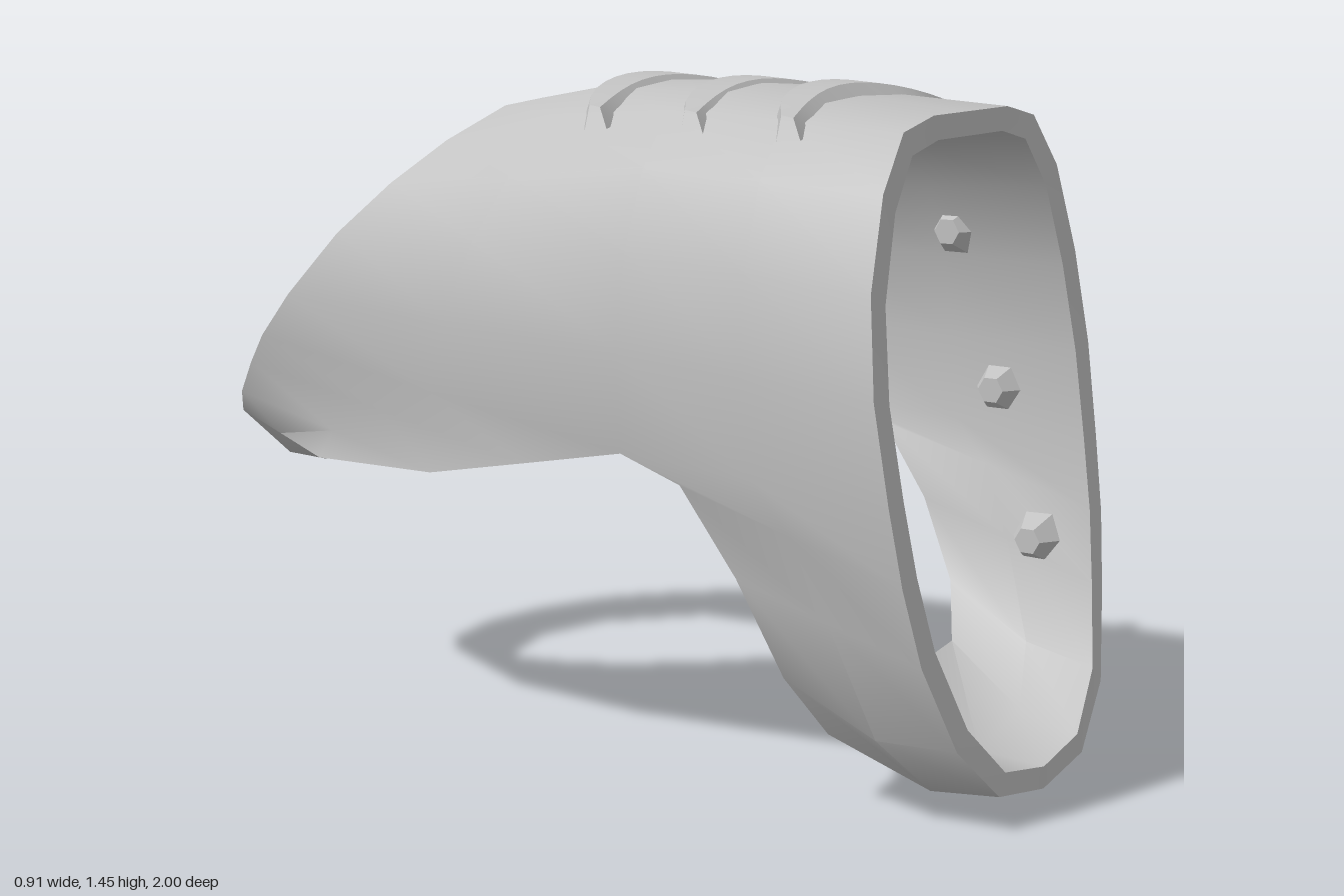
import * as THREE from 'three';
import { toCreasedNormals } from 'three/addons/utils/BufferGeometryUtils.js';

// Adds quads between two rows of points; skip(k) leaves gaps.
function strip(out, a, b, closed, skip = () => false) {
  const n = a.length;
  for (let k = 0; k < (closed ? n : n - 1); k++) {
    if (skip(k)) continue;
    const m = (k + 1) % n;
    out.push(...a[k], ...a[m], ...b[m], ...a[k], ...b[m], ...b[k]);
  }
}

function geometryFrom(positions, crease) {
  const g = new THREE.BufferGeometry();
  g.setAttribute('position', new THREE.Float32BufferAttribute(positions, 3));
  return toCreasedNormals(g, crease);
}

// Half ring (top centre to bottom centre on +x) mirrored into a closed loop.
const mirrorRing = (half) => [...half, ...half.slice(1, -1).reverse().map(([x, y, z]) => [-x, y, z])];
const average = (a, b) => a.map((p, i) => p.map((v, j) => (v + b[i][j]) / 2));
const inset = (half, sx, sy, sz = 1) => half.map(([x, y, z]) => [x * sx, 0.7 + (y - 0.7) * sy, z * sz]);

function shellGeometry() {
  // Front opening
  const front = [[0, 1.4, 0.8], [0.15, 1.4, 0.8], [0.265, 1.375, 0.8], [0.355, 1.265, 0.81],
    [0.42, 1.08, 0.825], [0.445, 0.88, 0.85], [0.435, 0.68, 0.88], [0.42, 0.52, 0.905],
    [0.385, 0.36, 0.93], [0.31, 0.18, 0.97], [0.18, 0.06, 0.995], [0, 0.03, 1]];
  // Seam over the top, shared by the front and rear lofts
  const seam = [[0, 1.44, 0.25], [0.15, 1.43, 0.25], [0.27, 1.395, 0.25], [0.355, 1.285, 0.25],
    [0.42, 1.12, 0.25], [0.45, 0.92, 0.25], [0.435, 0.71, 0.25]];
  // Front and rear edges of the hole in the underside
  const archFront = [...seam, [0.425, 0.66, 0.39], [0.4, 0.48, 0.51], [0.36, 0.28, 0.6],
    [0.27, 0.15, 0.65], [0, 0.12, 0.66]];
  const archRear = [...seam, [0.44, 0.66, 0], [0.44, 0.61, -0.25], [0.405, 0.595, -0.6],
    [0.21, 0.54, -0.76], [0, 0.52, -0.8]];
  // Slanted rear opening
  const rear = [[0, 1.38, -0.28], [0.12, 1.37, -0.29], [0.25, 1.3, -0.35], [0.345, 1.21, -0.43],
    [0.41, 1.1, -0.53], [0.44, 0.96, -0.65], [0.43, 0.86, -0.74], [0.405, 0.79, -0.8],
    [0.365, 0.71, -0.87], [0.3, 0.65, -0.93], [0.17, 0.59, -0.98], [0, 0.57, -1]];
  // Intermediate rings, pulled down at the lower bands
  const midFront = average(front, archFront);
  midFront[9] = [0.335, 0.18, 0.8];
  midFront[10] = [0.2, 0.05, 0.85];
  midFront[11] = [0, 0, 0.85];
  const midRear = average(archRear, rear);
  for (let i = 0; i < 3; i++) midRear[i][1] += 0.02;
  for (let i = 3; i < 7; i++) midRear[i][0] += 0.01;
  midRear[10] = [0.2, 0.54, -0.88];
  midRear[11] = [0, 0.515, -0.88];

  const frontLoop = [front, midFront, archFront,
    inset(archFront, 0.87, 0.85), inset(midFront, 0.87, 0.88), inset(front, 0.87, 0.93)].map(mirrorRing);
  const rearLoop = [archRear, midRear, rear,
    inset(rear, 0.9, 0.83, 0.97), inset(midRear, 0.885, 0.84), inset(archRear, 0.87, 0.85)].map(mirrorRing);

  const out = [];
  const onSeam = (k) => k < 6 || k >= 16;
  const never = () => false;
  for (let i = 0; i < 6; i++) {
    const j = (i + 1) % 6;
    strip(out, frontLoop[i], frontLoop[j], true, i === 2 ? onSeam : never);
    strip(out, rearLoop[i], rearLoop[j], true, i === 5 ? onSeam : never);
  }
  return geometryFrom(out, 0.8);
}

// Low crescent fold lying across the top, with tapered tips swept forward
function foldGeometry(z0, bend) {
  const rows = [];
  for (let i = -6; i <= 6; i++) {
    const t = i / 6, x = 0.3 * t;
    const w = 0.07 * (1 - 0.6 * t ** 4);
    const z = z0 + bend * t * t;
    const y = 1.43 - 0.55 * x * x;
    rows.push([[x, y - 0.035, z - w], [x, y + 0.018, z - w * 0.6],
      [x, y + 0.014, z + w * 0.4], [x, y - 0.03, z + w]]);
  }
  const out = [];
  for (let i = 0; i < 12; i++) strip(out, rows[i], rows[i + 1], false);
  return geometryFrom(out, 0.6);
}

export function createModel() {
  const group = new THREE.Group();
  const grey = new THREE.MeshStandardMaterial({ color: 0xc2c2c2 });
  grey.name = 'grey';
  const add = (geometry, name) => {
    const mesh = new THREE.Mesh(geometry, grey);
    mesh.name = name;
    group.add(mesh);
    return mesh;
  };

  add(shellGeometry(), 'shell');

  // Three folds over the joint
  [[0.03, 0.06], [0.27, 0.06], [0.49, 0.07]].forEach(([z, bend], i) =>
    add(foldGeometry(z, bend), `topFold${i + 1}`));

  // Small faceted studs on both inner walls: [x, y, z]
  const studs = [[0.33, 0.46, 0.79], [0.372, 0.77, 0.67], [0.345, 1.11, 0.57],
    [0.375, 0.91, 0.23], [0.355, 1.09, -0.08], [0.38, 0.87, -0.2], [0.385, 0.81, -0.55]];
  const studGeometry = toCreasedNormals(new THREE.CylinderGeometry(0.03, 0.062, 0.055, 6), 0.3);
  for (const side of [1, -1]) {
    studs.forEach(([x, y, z], i) => {
      const stud = add(studGeometry, `${side > 0 ? 'left' : 'right'}Stud${i + 1}`);
      stud.position.set(side * x, y, z);
      stud.rotation.z = side * Math.PI / 2;
    });
  }
  return group;
}
